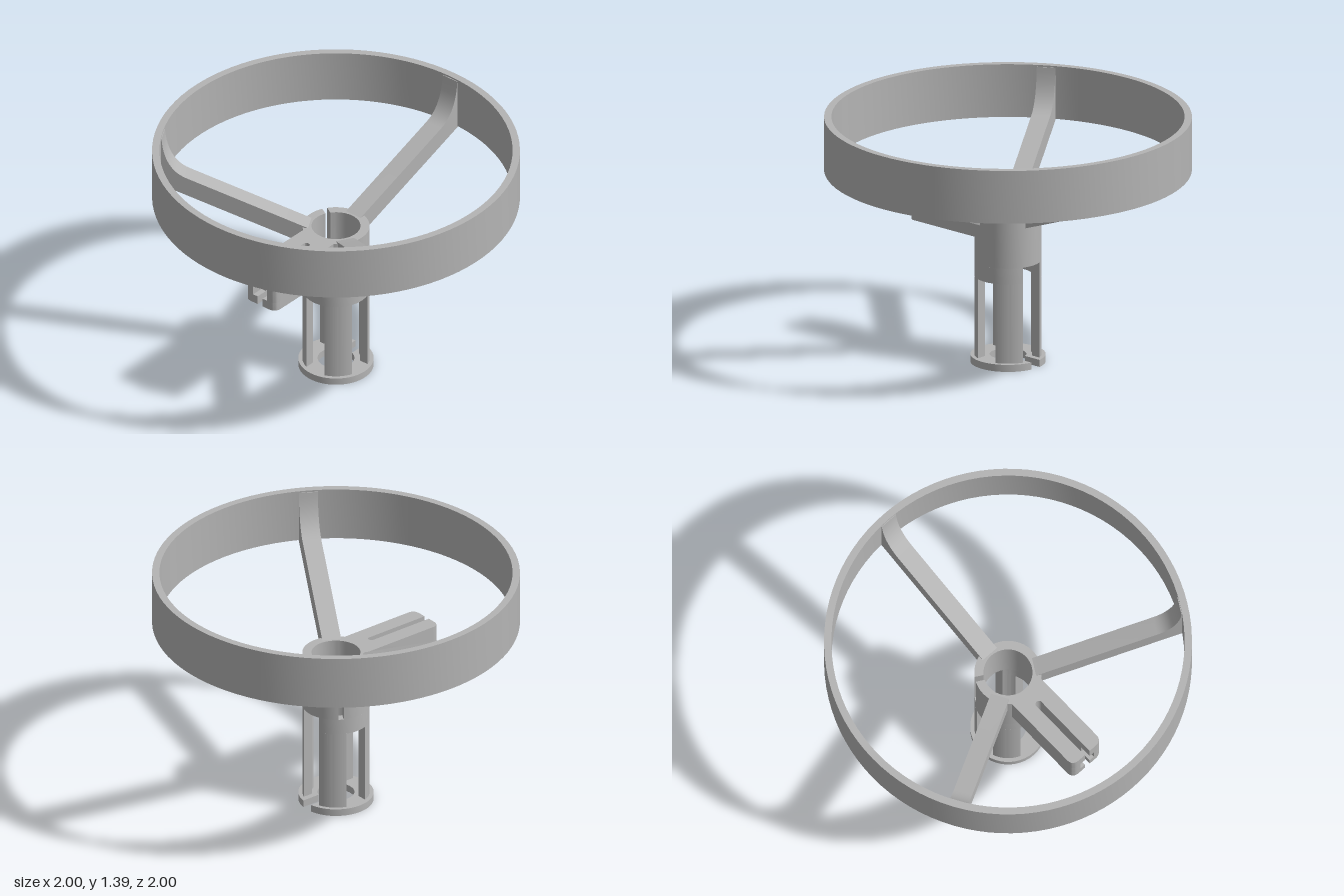
import * as THREE from 'three';
import { toCreasedNormals } from 'three/addons/utils/BufferGeometryUtils.js';

const deg = Math.PI / 180;

// Extrudes a plan shape upwards from y0 to y1, keeping sharp edges.
function slab(shape, y0, y1, curveSegments = 32) {
  const g = new THREE.ExtrudeGeometry(shape, { depth: y1 - y0, bevelEnabled: false, curveSegments });
  g.rotateX(-Math.PI / 2).translate(0, y0, 0);
  return toCreasedNormals(g, 0.5);
}

// Plan of a curved wall between two straight-sided cuts of half-width w.
function wallShape(r0, r1, from, to, w0, w1) {
  const s = new THREE.Shape();
  s.absarc(0, 0, r1, from + Math.asin(w0 / r1), to - Math.asin(w1 / r1), false);
  s.absarc(0, 0, r0, to - Math.asin(w1 / r0), from + Math.asin(w0 / r0), true);
  s.closePath();
  return s;
}

// Plan of the split clamp; a wider pocket is cut into the free end if asked.
function clampShape(pocket) {
  const half = 0.108, slit = 0.018, end = 0.635, c = 0.045;
  const s = new THREE.Shape();
  s.moveTo(0.14, -half);
  s.lineTo(end - c, -half);
  s.quadraticCurveTo(end, -half, end, -half + c);
  if (pocket) {
    s.lineTo(end, -0.05);
    s.lineTo(end - 0.07, -0.05);
    s.lineTo(end - 0.07, -slit);
  } else s.lineTo(end, -slit);
  s.lineTo(0.24, -slit);
  s.quadraticCurveTo(0.22, 0, 0.24, slit);
  if (pocket) {
    s.lineTo(end - 0.07, slit);
    s.lineTo(end - 0.07, 0.05);
    s.lineTo(end, 0.05);
  } else s.lineTo(end, slit);
  s.lineTo(end, half - c);
  s.quadraticCurveTo(end, half, end - c, half);
  s.lineTo(0.14, half);
  s.closePath();
  return s;
}

export function createModel() {
  const model = new THREE.Group();
  const grey = new THREE.MeshStandardMaterial({ color: 0xb4b4b4 });
  grey.name = 'grey';
  const add = (name, geometry, parent = model) => {
    const mesh = new THREE.Mesh(geometry, grey);
    mesh.name = name;
    parent.add(mesh);
    return mesh;
  };

  // Outer hoop
  const hoop = new THREE.Shape().absarc(0, 0, 1, 0, Math.PI * 2, false);
  hoop.holes.push(new THREE.Path().absarc(0, 0, 0.96, 0, Math.PI * 2, true));
  add('hoop', slab(hoop, 1.09, 1.39, 48));

  // Hub tube in layers; each cut is [angle in degrees, half-width]
  const hub = new THREE.Group();
  hub.name = 'hub';
  model.add(hub);
  const layers = [
    ['flange', 0.1, 0.205, 0, 0.04, [[45, 0.033]]],
    ['windowPost', 0.133, 0.183, 0.04, 0.49, [[45, 0.065], [135, 0.065], [225, 0.065], [315, 0.065]]],
    ['tallWindowWall', 0.133, 0.183, 0.49, 0.58, [[45, 0.065]]],
    ['upperTube', 0.133, 0.183, 0.58, 0.9, [[105, 0.014]]],
  ];
  for (const [name, r0, r1, y0, y1, cuts] of layers) {
    cuts.forEach(([angle, w], i) => {
      const last = i === cuts.length - 1;
      const [next, w2] = cuts[last ? 0 : i + 1];
      const shape = wallShape(r0, r1, angle * deg, (next + (last ? 360 : 0)) * deg, w, w2);
      add(name, slab(shape, y0, y1), hub);
    });
  }

  // Three rising spokes that flare up the inside of the hoop
  const profile = new THREE.Shape();
  profile.moveTo(0.145, 0.8);
  profile.lineTo(0.17, 0.8);
  profile.lineTo(0.97, 1.09);
  profile.lineTo(0.97, 1.38);
  profile.lineTo(0.955, 1.38);
  profile.quadraticCurveTo(0.94, 1.19, 0.82, 1.145);
  profile.lineTo(0.145, 0.9);
  profile.closePath();
  const spoke = toCreasedNormals(
    new THREE.ExtrudeGeometry(profile, { depth: 0.104, bevelEnabled: false, curveSegments: 12 })
      .translate(0, 0, -0.052), 0.5);
  for (const angle of [45, 165, 285]) add('spoke', spoke).rotation.y = angle * deg;

  // Split clamp with a square pocket in its end
  const clamp = new THREE.Group();
  clamp.name = 'clamp';
  clamp.rotation.y = 225 * deg;
  model.add(clamp);
  add('clampBottom', slab(clampShape(false), 0.7, 0.75, 8), clamp);
  add('clampMiddle', slab(clampShape(true), 0.75, 0.82, 8), clamp);
  add('clampTop', slab(clampShape(false), 0.82, 0.9, 8), clamp);

  return model;
}
